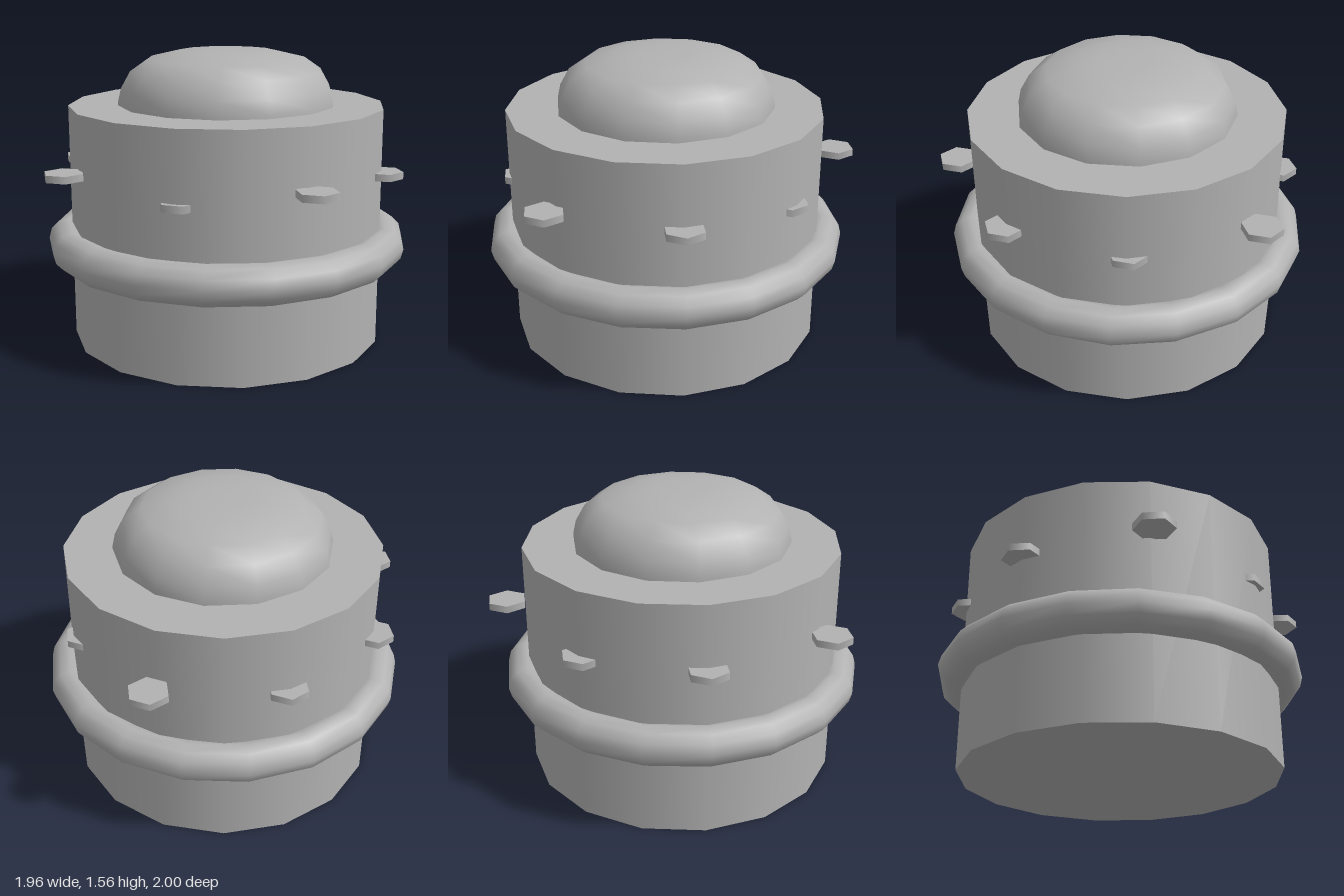
import * as THREE from 'three';

const CENTER_Z = 0.033;

export function createModel() {
  const model = new THREE.Group();
  const gray = new THREE.MeshStandardMaterial({ color: 0xb2b2b2 });
  gray.name = 'plain gray';

  const add = (name, geometry, x, y, z) => {
    const mesh = new THREE.Mesh(geometry, gray);
    mesh.name = name;
    mesh.position.set(x, y, z);
    model.add(mesh);
    return mesh;
  };

  // Sixteen-sided drum
  add('body', new THREE.CylinderGeometry(0.847, 0.847, 1.275, 16), 0, 0.6375, CENTER_Z);

  // Rounded band around the drum
  const ring = new THREE.TorusGeometry(0.874, 0.105, 12, 18).rotateX(Math.PI / 2);
  add('ring', ring, 0, 0.535, CENTER_Z);

  // Flattened dome on top, fourteen-sided
  const profile = [
    [0.584, -0.03], [0.583, 0.02], [0.567, 0.09], [0.516, 0.18],
    [0.425, 0.243], [0.26, 0.282], [0.13, 0.288], [0, 0.29],
  ].map(([r, y]) => new THREE.Vector2(r, y));
  const dome = new THREE.LatheGeometry(profile, 14).rotateY(Math.PI / 2);
  add('dome', dome, 0, 1.275, CENTER_Z);

  // Small hexagonal plates set around the drum: x, y, z
  const hexagon = new THREE.CylinderGeometry(0.107, 0.107, 0.038, 6).rotateY(Math.PI / 6);
  const plates = new THREE.Group();
  plates.name = 'plates';
  [
    [0, 0.895, 0.81], [0.645, 0.962, 0.69], [0.855, 0.935, 0.033], [0.55, 0.905, -0.53],
    [0, 0.971, -0.909], [-0.58, 0.91, -0.55], [-0.848, 0.928, 0.033], [-0.658, 0.967, 0.69],
  ].forEach(([x, y, z], i) => plates.add(add(`plate${i + 1}`, hexagon, x, y, z)));
  model.add(plates);

  return model;
}
